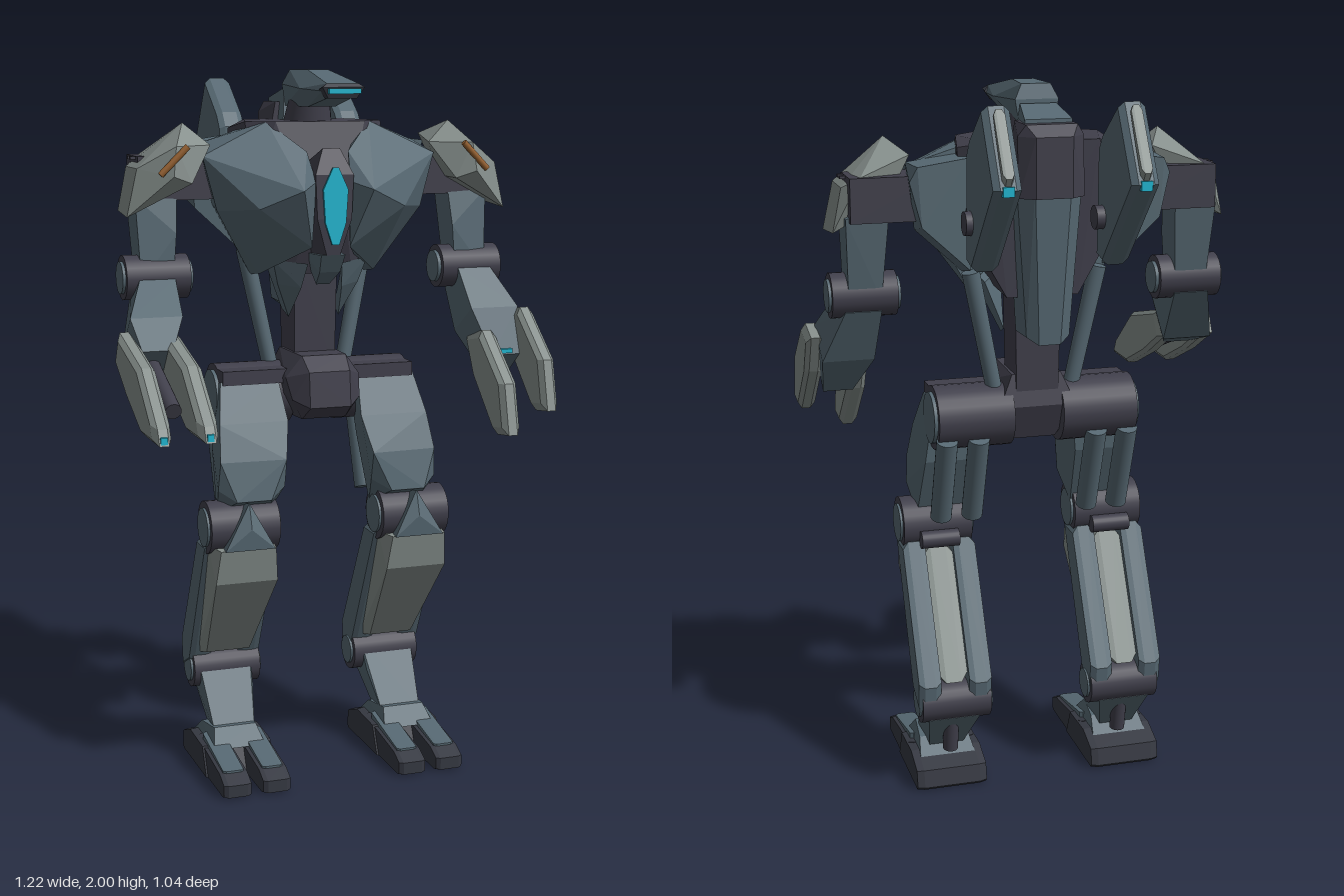
import * as THREE from 'three';
import { ConvexGeometry } from 'three/addons/geometries/ConvexGeometry.js';

const mat = (name, color) => {
  const m = new THREE.MeshStandardMaterial({ color });
  m.name = name;
  return m;
};

export function createModel() {
  const slate = mat('slate armour', 0x566872);
  const pale = mat('pale armour', 0x868f8c);
  const dark = mat('dark frame', 0x403f4b);
  const sole = mat('sole', 0x353841);
  const cyan = mat('cyan glow', 0x1fb6d0);
  const orange = mat('orange stripe', 0x95602f);

  const model = new THREE.Group();
  model.name = 'robot';

  const add = (parent, name, geo, m) => {
    const mesh = new THREE.Mesh(geo, m);
    mesh.name = name;
    parent.add(mesh);
    return mesh;
  };
  // Faceted solid around corner points; s mirrors it across x
  const hull = (parent, name, m, pts, s = 1) =>
    add(parent, name, new ConvexGeometry(pts.map(p => new THREE.Vector3(p[0] * s, p[1], p[2]))), m);
  // Corners given for +x, repeated on -x
  const both = pts => pts.concat(pts.map(([x, y, z]) => [-x, y, z]));
  // Side outline of [z, y] given thickness in x, with bevelled edges
  const slab = (parent, name, m, x0, x1, outline, s = 1, bevel = 0.25, shrink = 0.85) => {
    const cz = outline.reduce((a, p) => a + p[0], 0) / outline.length;
    const cy = outline.reduce((a, p) => a + p[1], 0) / outline.length;
    const d = (x1 - x0) * bevel, pts = [];
    for (const [z, y] of outline) {
      for (const x of [x0 + d, x1 - d]) pts.push([x, y, z]);
      for (const x of [x0, x1]) pts.push([x, cy + (y - cy) * shrink, cz + (z - cz) * shrink]);
    }
    return hull(parent, name, m, pts, s);
  };
  // Round bar between two points
  const rod = (parent, name, m, a, b, r0, r1 = r0, s = 1) => {
    const p = new THREE.Vector3(a[0] * s, a[1], a[2]), q = new THREE.Vector3(b[0] * s, b[1], b[2]);
    const mesh = add(parent, name, new THREE.CylinderGeometry(r1, r0, p.distanceTo(q), 24), m);
    mesh.position.copy(p).add(q).multiplyScalar(0.5);
    mesh.quaternion.setFromUnitVectors(new THREE.Vector3(0, 1, 0), q.sub(p).normalize());
    return mesh;
  };
  const box = (parent, name, m, x, y, z, w, h, d, s = 1) => {
    const mesh = add(parent, name, new THREE.BoxGeometry(w, h, d), m);
    mesh.position.set(x * s, y, z);
    return mesh;
  };
  const part = name => {
    const g = new THREE.Group();
    g.name = name;
    model.add(g);
    return g;
  };

  // Head: long hood with a visor at the tip
  const head = part('head');
  hull(head, 'hood', slate, both([
    [0.03, 2, 0.0], [0.04, 2, -0.13], [0.06, 1.96, -0.14], [0.05, 1.9, -0.14], [0.07, 1.95, 0.05],
    [0.04, 1.9, 0.03], [0.045, 1.965, 0.2], [0.055, 1.945, 0.19], [0.035, 1.925, 0.17]]));
  hull(head, 'visorFrame', sole, both([[0.06, 1.955, 0.21], [0.045, 1.965, 0.2], [0.04, 1.925, 0.2], [0.06, 1.95, 0.18], [0.04, 1.925, 0.17]]));
  box(head, 'visor', cyan, 0, 1.945, 0.217, 0.09, 0.014, 0.012);
  rod(head, 'neck', dark, [0, 1.82, -0.1], [0, 1.93, -0.07], 0.075, 0.055);
  hull(head, 'nape', slate, both([[0.05, 1.95, -0.15], [0.065, 1.92, -0.25], [0.06, 1.84, -0.25], [0.06, 1.84, -0.13]]));

  // Torso core, back pack and waist
  const torso = part('torso');
  hull(torso, 'core', dark, both([
    [0.13, 1.86, 0.02], [0.2, 1.86, -0.04], [0.22, 1.84, -0.14], [0.15, 1.86, -0.22],
    [0.22, 1.65, -0.2], [0.2, 1.65, 0.03], [0.09, 1.44, 0.03], [0.1, 1.44, -0.2], [0.05, 1.6, 0.09]]));
  hull(torso, 'packTop', dark, both([[0.07, 1.91, -0.17], [0.07, 1.91, -0.28], [0.05, 1.88, -0.31], [0.09, 1.88, -0.27],
    [0.09, 1.8, -0.17], [0.09, 1.72, -0.28], [0.05, 1.72, -0.31]]));
  hull(torso, 'backPack', slate, both([[0.09, 1.76, -0.16], [0.09, 1.76, -0.26], [0.05, 1.76, -0.3],
    [0.065, 1.34, -0.16], [0.06, 1.34, -0.25], [0.03, 1.32, -0.27], [0.03, 1.32, -0.17]]));
  hull(torso, 'waist', dark, both([[0.065, 1.52, -0.02], [0.065, 1.52, -0.16], [0.06, 1.15, -0.03], [0.06, 1.15, -0.15]]));
  hull(torso, 'pelvis', dark, both([[0.065, 1.21, 0.05], [0.11, 1.15, 0.04], [0.1, 1.09, 0.07], [0.065, 1.03, 0.05],
    [0.06, 1.17, 0.1], [0.06, 1.07, 0.11], [0.07, 1.21, -0.14], [0.11, 1.12, -0.16], [0.06, 1.02, -0.12]]));
  // Sternum with glowing core
  hull(torso, 'sternum', dark, both([[0.025, 1.79, 0.11], [0.055, 1.72, 0.14], [0.05, 1.6, 0.14], [0.02, 1.5, 0.13],
    [0.05, 1.74, 0.02], [0.04, 1.48, 0.02]]));
  const glow = both([[0.008, 1.74, 0], [0.036, 1.68, 0], [0.03, 1.59, 0], [0.01, 1.53, 0]]);
  hull(torso, 'chestGlow', cyan, glow.flatMap(([x, y]) => [[x, y, 0.142], [x, y, 0.15]]));
  hull(torso, 'bellyPlate', slate, both([[0.035, 1.5, 0.13], [0.03, 1.45, 0.1], [0.02, 1.41, 0.04], [0.05, 1.5, 0.02]]));

  for (const s of [1, -1]) {
    const side = s > 0 ? 'left' : 'right';

    // Chest, shoulder block and torso struts
    const chest = part(side + 'Chest');
    hull(chest, 'chestPlate', slate, [[0.06, 1.78, 0.08], [0.15, 1.86, 0.0], [0.16, 1.85, -0.1], [0.32, 1.8, -0.09],
      [0.34, 1.77, 0.02], [0.3, 1.62, 0.02], [0.28, 1.63, -0.1], [0.17, 1.43, -0.1], [0.17, 1.44, -0.01],
      [0.05, 1.7, 0.13], [0.1, 1.68, 0.18], [0.055, 1.52, 0.11], [0.21, 1.63, 0.13]], s);
    hull(chest, 'ribPlate', slate, [[0.05, 1.47, 0.06], [0.14, 1.48, 0.02], [0.12, 1.41, 0], [0.075, 1.31, -0.04],
      [0.06, 1.4, 0.03], [0.13, 1.46, -0.08], [0.08, 1.33, -0.09]], s);
    rod(chest, 'strut', slate, [0.105, 1.13, -0.1], [0.18, 1.5, -0.12], 0.022, 0.025, s);
    hull(chest, 'shoulderBlock', slate, [[0.2, 1.82, -0.2], [0.34, 1.8, -0.2], [0.36, 1.76, -0.19], [0.35, 1.8, -0.09],
      [0.2, 1.82, -0.09], [0.33, 1.64, -0.2], [0.2, 1.52, -0.2], [0.2, 1.5, -0.1], [0.33, 1.62, -0.1]], s);

    // Back fin on a pivot, with pale edge and glowing tip
    const fin = part(side + 'Fin');
    slab(fin, 'finBody', slate, 0.143, 0.217, [[-0.23, 1.84], [-0.26, 1.88], [-0.39, 1.975], [-0.515, 1.78], [-0.27, 1.53], [-0.22, 1.54]], s, 0.22, 0.93);
    slab(fin, 'finEdge', pale, 0.165, 0.195, [[-0.41, 1.965], [-0.42, 1.97], [-0.522, 1.81], [-0.51, 1.79]], s);
    box(fin, 'finGlow', cyan, 0.18, 1.777, -0.51, 0.03, 0.025, 0.016, s);
    rod(fin, 'finPivot', dark, [0.12, 1.66, -0.27], [0.235, 1.66, -0.27], 0.032, 0.032, s);
    rod(fin, 'finMount', dark, [0.17, 1.66, -0.16], [0.18, 1.66, -0.28], 0.035, 0.03, s);

    // Shoulder and arm down to the elbow
    const arm = part(side + 'Arm');
    box(arm, 'shoulderAxle', dark, 0.39, 1.71, -0.085, 0.24, 0.12, 0.13, s);
    hull(arm, 'shoulderPad', pale, [[0.34, 1.82, -0.1], [0.39, 1.86, 0.0], [0.32, 1.8, 0.03], [0.385, 1.7, 0.08],
      [0.43, 1.8, 0.09], [0.44, 1.72, 0.1], [0.555, 1.61, 0.03], [0.55, 1.62, -0.1], [0.525, 1.74, -0.1],
      [0.48, 1.77, -0.14], [0.525, 1.74, 0.03], [0.4, 1.7, -0.1]], s);
    const stripe = rod(arm, 'shoulderStripe', orange, [0.475, 1.725, 0.09], [0.4, 1.8, 0.096], 0.009, 0.009, s);
    stripe.scale.z = 0.8;
    for (const z of [-0.05, -0.08]) box(arm, 'shoulderVent', dark, 0.5, 1.765, z, 0.05, 0.008, 0.014, s);
    hull(arm, 'upperArm', slate, [[0.4, 1.7, -0.03], [0.4, 1.7, -0.13], [0.52, 1.66, -0.02], [0.52, 1.66, -0.13],
      [0.41, 1.56, 0.0], [0.42, 1.43, 0.0], [0.42, 1.43, -0.09], [0.51, 1.43, 0.0], [0.51, 1.43, -0.09]], s);
    rod(arm, 'elbow', dark, [0.375, 1.44, -0.04], [0.555, 1.44, -0.04], 0.062, 0.062, s);
    rod(arm, 'elbowCap', slate, [0.365, 1.44, -0.04], [0.563, 1.44, -0.04], 0.045, 0.045, s);

    // Forearm and claws; the left hand hangs lower, the right reaches forward
    const low = s > 0;
    hull(arm, 'forearm', slate, (low
      ? [[1.44, 0.02, 0], [1.4, -0.09, 0], [1.33, 0.1, 1], [1.25, -0.02, 1], [1.2, 0.15, 2], [1.14, 0.08, 2]]
      : [[1.44, 0.02, 0], [1.4, -0.09, 0], [1.35, 0.13, 1], [1.24, 0.02, 1], [1.27, 0.2, 2], [1.2, 0.14, 2]]
    ).flatMap(([y, z, k]) => [[[0.42, 0.43, 0.475][k], y, z], [[0.52, 0.575, 0.56][k], y, z]]), s);
    const claw = low
      ? [[0.325, 1.0], [0.25, 0.99], [0.09, 1.14], [0.03, 1.25], [0.13, 1.27], [0.29, 1.14]]
      : [[0.52, 1.08], [0.5, 1.12], [0.34, 1.25], [0.1, 1.31], [0.06, 1.24], [0.2, 1.16], [0.38, 1.08]];
    const raise = low ? 0.06 : 0;
    slab(arm, 'innerClaw', pale, 0.437, 0.49, claw, s);
    slab(arm, 'outerClaw', pale, 0.56, 0.61, claw.map(([z, y]) => [z - raise / 6, y + raise]), s);
    if (low) {
      for (const y of [1.21, 1.14]) box(arm, 'palmGlow', cyan, 0.515, y, y > 1.2 ? 0.15 : 0.115, 0.04, 0.012, 0.012, s);
    } else {
      rod(arm, 'barrel', dark, [0.525, 1.24, 0.12], [0.525, 1.14, 0.38], 0.022, 0.022, s);
      for (const x of [0.464, 0.585]) box(arm, 'clawGlow', cyan, x, 1.092, 0.508, 0.018, 0.02, 0.02, s);
    }

    // Hip, thigh and pistons
    const leg = part(side + 'Leg');
    rod(leg, 'hip', dark, [0.07, 1.09, -0.09], [0.285, 1.09, -0.09], 0.09, 0.09, s);
    rod(leg, 'hipCap', slate, [0.28, 1.09, -0.09], [0.295, 1.09, -0.09], 0.072, 0.072, s);
    box(leg, 'hipHood', dark, 0.19, 1.15, -0.04, 0.19, 0.04, 0.1, s);
    hull(leg, 'thigh', slate, [[0.12, 1.14, 0.0], [0.29, 1.14, 0.0], [0.12, 1.12, -0.08], [0.28, 1.12, -0.08],
      [0.11, 1.03, 0.06], [0.31, 1.03, 0.06], [0.13, 0.93, 0.11], [0.32, 0.93, 0.1], [0.18, 0.82, 0.125], [0.28, 0.82, 0.125],
      [0.13, 0.85, 0.09], [0.325, 0.85, 0.09], [0.15, 0.77, 0.02], [0.31, 0.77, 0.02], [0.14, 0.95, -0.06], [0.3, 0.95, -0.06]], s);
    for (const x of [0.17, 0.26]) rod(leg, 'thighPiston', slate, [x, 0.79, -0.07], [x, 1.04, -0.16], 0.03, 0.03, s);

    // Knee
    rod(leg, 'knee', dark, [0.155, 0.74, 0.055], [0.355, 0.74, 0.055], 0.075, 0.075, s);
    rod(leg, 'kneeCap', slate, [0.148, 0.74, 0.055], [0.362, 0.74, 0.055], 0.055, 0.055, s);
    hull(leg, 'kneePlate', slate, [[0.18, 0.69, 0.16], [0.325, 0.69, 0.16], [0.25, 0.82, 0.14], [0.25, 0.75, 0.165],
      [0.2, 0.69, 0.06], [0.31, 0.69, 0.06], [0.25, 0.8, 0.06]], s);
    rod(leg, 'kneeKnob', dark, [0.2, 0.71, -0.03], [0.31, 0.71, -0.03], 0.025, 0.025, s);

    // Shin: pale front shell, side beams, pale strip behind
    hull(leg, 'shinShell', pale, [[0.175, 0.69, 0.15], [0.335, 0.69, 0.15], [0.16, 0.69, 0.07], [0.35, 0.69, 0.07],
      [0.165, 0.59, 0.13], [0.345, 0.59, 0.13], [0.19, 0.33, -0.07], [0.32, 0.33, -0.07], [0.175, 0.32, -0.12], [0.335, 0.32, -0.12]], s);
    for (const x of [0.148, 0.295])
      slab(leg, 'shinBeam', slate, x, x + 0.065, [[0.08, 0.7], [-0.01, 0.7], [-0.21, 0.33], [-0.2, 0.25], [-0.12, 0.29]], s, 0.25, 0.92);
    slab(leg, 'shinStrip', pale, 0.21, 0.3, [[0.06, 0.68], [0.0, 0.68], [-0.19, 0.33], [-0.12, 0.31]], s);

    // Ankle
    rod(leg, 'ankle', dark, [0.15, 0.265, -0.15], [0.35, 0.265, -0.15], 0.06, 0.06, s);
    rod(leg, 'ankleCap', slate, [0.143, 0.265, -0.15], [0.357, 0.265, -0.15], 0.042, 0.042, s);
    hull(leg, 'ankleStem', slate, [[0.175, 0.31, -0.12], [0.335, 0.31, -0.12], [0.18, 0.22, -0.19], [0.33, 0.22, -0.19],
      [0.18, 0.22, -0.07], [0.33, 0.22, -0.07], [0.2, 0.11, 0.01], [0.32, 0.11, 0.01], [0.21, 0.1, -0.1], [0.31, 0.1, -0.1]], s);
    rod(leg, 'anklePiston', dark, [0.255, 0.1, -0.13], [0.255, 0.22, -0.15], 0.022, 0.022, s);

    // Split foot
    slab(leg, 'heel', sole, 0.16, 0.365, [[-0.19, 0.01], [-0.18, 0.06], [-0.1, 0.09], [0.04, 0.085], [0.08, 0.0], [-0.18, 0.0]], s, 0.1, 0.95);
    for (const x of [0.165, 0.28]) {
      slab(leg, 'toe', sole, x, x + 0.08, [[-0.05, 0.0], [-0.05, 0.09], [0.08, 0.075], [0.2, 0.06], [0.245, 0.04], [0.245, 0.005], [0.23, 0.0]], s, 0.15, 0.94);
      slab(leg, 'toePlate', slate, x + 0.01, x + 0.07, [[-0.02, 0.06], [-0.02, 0.105], [0.08, 0.085], [0.2, 0.066], [0.2, 0.05]], s, 0.15, 0.94);
    }
    hull(leg, 'instep', slate, [[0.2, 0.13, 0.02], [0.325, 0.13, 0.02], [0.185, 0.08, 0.07], [0.34, 0.08, 0.07],
      [0.19, 0.12, -0.08], [0.335, 0.12, -0.08], [0.18, 0.07, -0.14], [0.345, 0.07, -0.14]], s);
  }
  return model;
}
